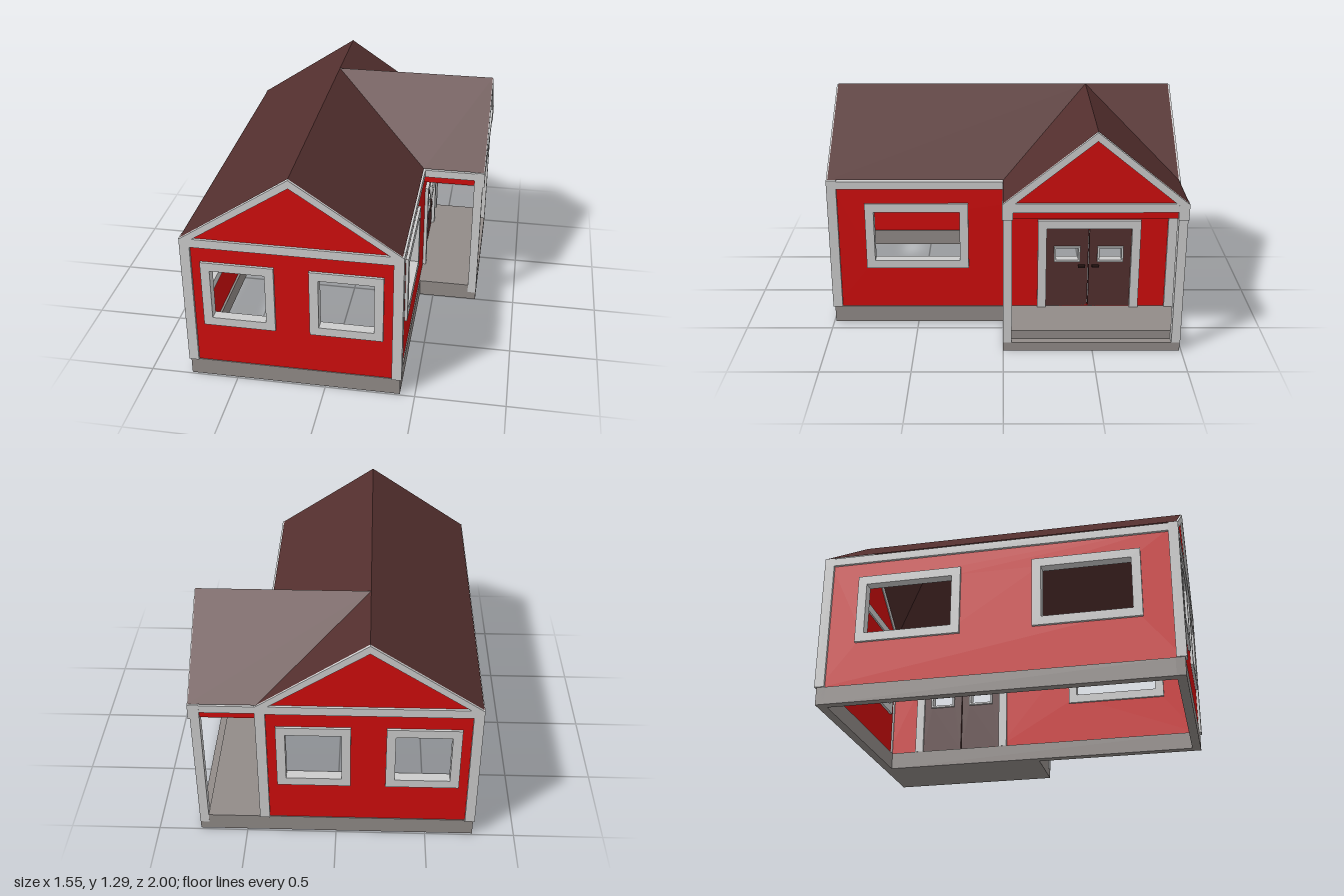
import * as THREE from 'three';

const mat = (name, color, side = THREE.FrontSide) => {
  const m = new THREE.MeshStandardMaterial({ color, side });
  m.name = name;
  return m;
};

export function createModel() {
  const red = mat('wall red', 0xd00d0d);
  const trim = mat('trim grey', 0xcccccc);
  const stone = mat('foundation grey', 0x918b88);
  const brown = mat('roof brown', 0x532f2e, THREE.DoubleSide);
  const dark = mat('handle dark', 0x2a1815);

  const root = new THREE.Group();
  root.name = 'house';

  const add = (parent, name, geo, material) => {
    const m = new THREE.Mesh(geo, material);
    m.name = name;
    parent.add(m);
    return m;
  };
  // Box given by its lower and upper corner
  const box = (parent, name, material, a, b) =>
    add(parent, name, new THREE.BoxGeometry(b[0] - a[0], b[1] - a[1], b[2] - a[2]), material)
      .position.set((a[0] + b[0]) / 2, (a[1] + b[1]) / 2, (a[2] + b[2]) / 2);
  const rect = (u0, u1, v0, v1) => [[u0, v0], [u1, v0], [u1, v1], [u0, v1]];
  const toPoints = (l) => l.map(([u, v]) => new THREE.Vector2(u, v));
  // Upright panel with holes, whose outer face lies at z = outer
  const panel = (parent, name, material, outline, holes, outer, depth) => {
    const shape = new THREE.Shape(toPoints(outline));
    for (const h of holes) shape.holes.push(new THREE.Path(toPoints(h)));
    const geo = new THREE.ExtrudeGeometry(shape, { depth, bevelEnabled: false });
    geo.translate(0, 0, outer - depth);
    return add(parent, name, geo, material);
  };
  const frame = (parent, name, [u0, u1, v0, v1], t, outer, depth) =>
    panel(parent, name, trim, rect(u0, u1, v0, v1), [rect(u0 + t, u1 - t, v0 + t, v1 - t)], outer, depth);
  const facing = (parent, name, angle, x = 0, z = 0) => {
    const g = new THREE.Group();
    g.name = name;
    g.rotation.y = angle;
    g.position.set(x, 0, z);
    parent.add(g);
    return g;
  };
  // Sloping boards below a gable roof
  const rake = (parent, w, outer) =>
    panel(parent, 'rakeTrim', trim, [[-w, 0.885], [w, 0.885], [0, 1.287]],
      [[[-w + 0.065, 0.887], [w - 0.065, 0.887], [0, 1.24]]], outer, 0.05);

  // Main block, symmetric about its own ridge
  const house = facing(root, 'mainBlock', 0, -0.175);
  for (const [name, angle] of [['frontWall', 0], ['backWall', Math.PI]]) {
    const g = facing(house, name, angle);
    const wins = [-0.295, 0.295].map((c) => [c - 0.2, c + 0.2, 0.35, 0.75]);
    panel(g, 'gableWall', red,
      [[-0.585, 0.1], [0.585, 0.1], [0.585, 0.88], [0, 1.27], [-0.585, 0.88]],
      wins.map(([a, b, c, d]) => rect(a + 0.04, b - 0.04, c + 0.04, d - 0.04)), 0.985, 0.03);
    for (const w of wins) frame(g, 'windowFrame', w, 0.05, 1, 0.06);
    rake(g, 0.6, 1);
    box(g, 'gableBeam', trim, [-0.6, 0.84, 0.945], [0.6, 0.89, 1]);
    for (const s of [-1, 1]) {
      const x = s * 0.5725;
      box(g, 'cornerPost', trim, [x - 0.0275, 0.1, 0.945], [x + 0.0275, 0.885, 1]);
    }
    box(g, 'foundation', stone, [-0.592, 0, 0.94], [0.592, 0.1, 0.99]);
  }

  // Long walls; local u runs along the wall
  for (const [name, angle, hasDoor] of [['leftWall', Math.PI / 2, true], ['rightWall', -Math.PI / 2, false]]) {
    const g = facing(house, name, angle);
    const wins = (hasDoor ? [-0.495] : [-0.495, 0.495]).map((c) => [c - 0.295, c + 0.295, 0.35, 0.75]);
    const holes = wins.map(([a, b, c, d]) => rect(a + 0.04, b - 0.04, c + 0.04, d - 0.04));
    if (hasDoor) holes.push(rect(0.24, 0.75, 0.105, 0.61));
    panel(g, 'sideWall', red, rect(-0.98, 0.98, 0.1, 0.88), holes, 0.585, 0.03);
    for (const w of wins) frame(g, 'windowFrame', w, 0.05, 0.6, 0.06);
    box(g, 'eaveBeam', trim, [-0.95, 0.84, 0.545], [hasDoor ? 0 : 0.95, 0.885, 0.6]);
    box(g, 'foundation', stone, [-0.985, 0, 0.542], [0.985, 0.1, 0.592]);
    if (!hasDoor) continue;

    // Double door with small framed windows
    panel(g, 'doorFrame', trim,
      [[0.2, 0.1], [0.25, 0.1], [0.25, 0.6], [0.74, 0.6], [0.74, 0.1], [0.79, 0.1], [0.79, 0.65], [0.2, 0.65]],
      [], 0.605, 0.065);
    for (const s of [-1, 1]) {
      const c = 0.495 + s * 0.125;
      const r = [c - 0.075, c + 0.075, 0.39, 0.485];
      panel(g, 'doorLeaf', brown, rect(c - 0.1225, c + 0.1225, 0.1, 0.6),
        [rect(r[0] + 0.005, r[1] - 0.005, r[2] + 0.005, r[3] - 0.005)], 0.585, 0.03);
      frame(g, 'doorWindowFrame', r, 0.011, 0.6, 0.06);
      const h = 0.495 + s * 0.04;
      box(g, 'doorHandle', dark, [h - 0.02, 0.355, 0.585], [h + 0.02, 0.367, 0.605]);
    }
  }

  // Porch floor in two levels
  const porch = facing(root, 'porch', 0);
  box(porch, 'porchBase', stone, [0.415, 0, -0.99], [0.765, 0.05, 0]);
  box(porch, 'porchFloor', stone, [0.41, 0.05, -0.99], [0.717, 0.1, 0]);
  box(porch, 'porchCeiling', brown, [0.415, 0.8, -0.98], [0.755, 0.81, -0.01]);

  // Porch gable, posts and beams
  const end = facing(porch, 'porchGable', Math.PI / 2, 0, -0.495);
  panel(end, 'porchGableWall', red, [[-0.48, 0.88], [0.48, 0.88], [0, 1.27]], [], 0.76, 0.03);
  rake(end, 0.5, 0.775);
  box(end, 'gableBeam', trim, [-0.5, 0.84, 0.72], [0.5, 0.89, 0.775]);
  box(end, 'lintel', red, [-0.46, 0.8, 0.73], [0.46, 0.84, 0.76]);
  for (const s of [-1, 1]) {
    const u = s * 0.4725;
    box(end, 'porchPost', trim, [u - 0.025, 0.05, 0.716], [u + 0.025, 0.8, 0.766]);
    box(end, 'postCap', trim, [u - 0.0285, 0.797, 0.716], [u + 0.0285, 0.888, 0.776]);
    box(end, 'sideBeam', trim, [u - 0.0275, 0.84, 0.41], [u + 0.0275, 0.885, 0.74]);
    box(end, 'sideLintel', red, [u - 0.015, 0.8, 0.41], [u + 0.015, 0.84, 0.73]);
  }

  // Roof of two crossing gables, as flat faces meeting in the valleys
  const E = 0.892, R = 1.292, xr = -0.175, zr = -0.495;
  const faces = [
    [[-0.77, E, 0.992], [xr, R, 0.992], [xr, R, -0.992], [-0.77, E, -0.992]],
    [[0.415, E, 0.992], [0.415, E, 0], [xr, R, zr], [xr, R, 0.992]],
    [[0.415, E, -0.99], [xr, R, -0.99], [xr, R, zr]],
    [[0.415, E, 0], [0.77, E, 0], [0.77, R, zr], [xr, R, zr]],
    [[0.415, E, -0.99], [0.77, E, -0.99], [0.77, R, zr], [xr, R, zr]],
  ];
  const pos = [];
  for (const f of faces) {
    const v = f.map((p) => new THREE.Vector3(...p));
    const n = v[1].clone().sub(v[0]).cross(v[2].clone().sub(v[0]));
    if (n.y < 0) v.reverse();
    for (let i = 1; i < v.length - 1; i++)
      for (const p of [v[0], v[i], v[i + 1]]) pos.push(p.x, p.y, p.z);
  }
  const roof = new THREE.BufferGeometry();
  roof.setAttribute('position', new THREE.Float32BufferAttribute(pos, 3));
  roof.computeVertexNormals();
  add(root, 'roof', roof, brown);

  return root;
}
